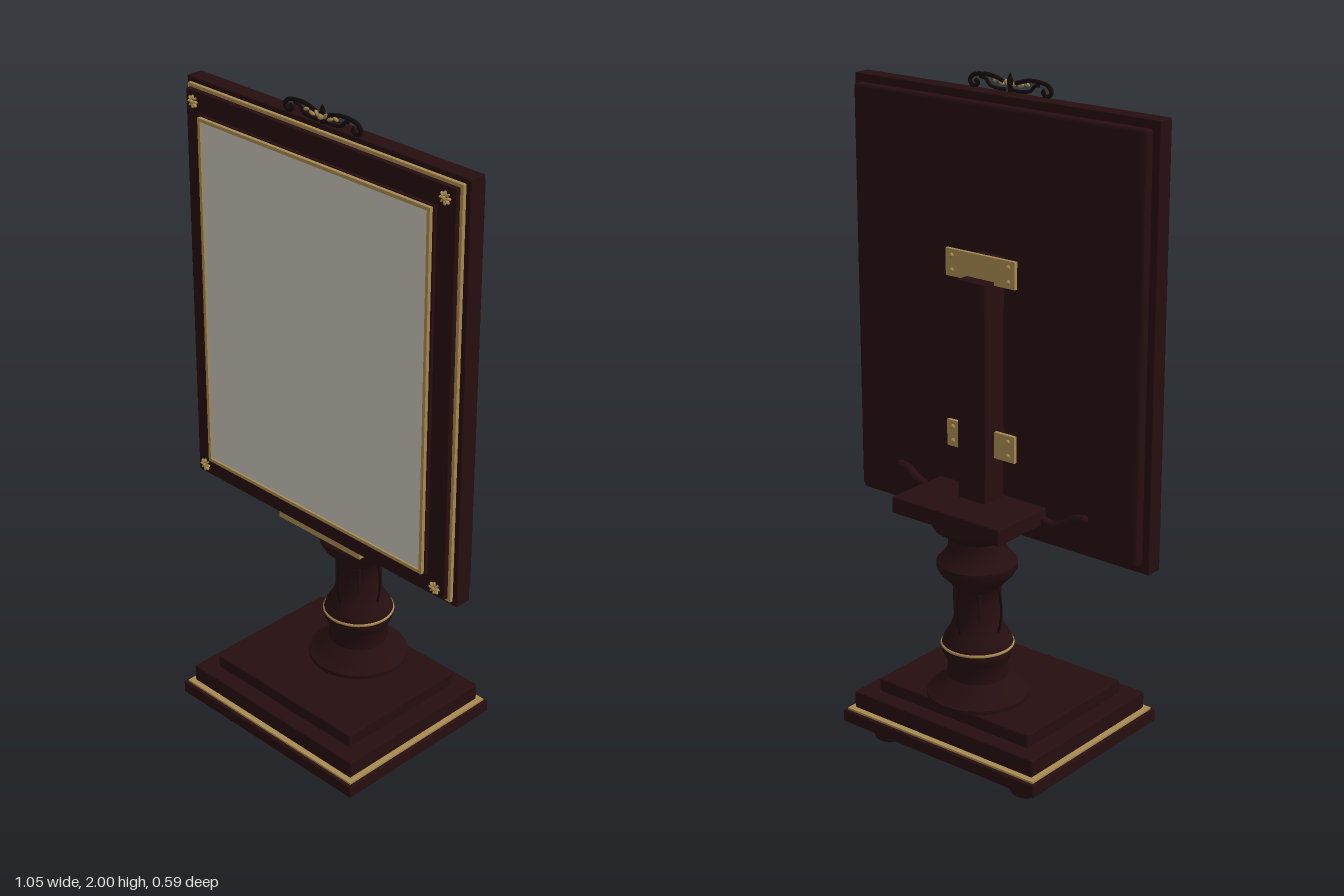
import * as THREE from 'three';
import { toCreasedNormals } from 'three/addons/utils/BufferGeometryUtils.js';
import { RoundedBoxGeometry } from 'three/addons/geometries/RoundedBoxGeometry.js';

const material = (name, color) => Object.assign(new THREE.MeshStandardMaterial({ color }), { name });
const V = (x, y, z) => new THREE.Vector3(x, y, z);

export function createModel() {
  const model = new THREE.Group();
  model.name = 'pedestalMirror';
  const wood = material('mahogany', 0x260e0f);
  const gold = material('brass', 0xa88a50);
  const glass = material('mirrorGlass', 0xc8c3b7);
  const iron = material('blackIron', 0x140a09);

  const add = (name, geo, mat, x = 0, y = 0, z = 0, parent = model) => {
    const m = new THREE.Mesh(geo, mat);
    m.name = name;
    m.position.set(x, y, z);
    parent.add(m);
    return m;
  };
  // box given by its limits, optionally with rounded edges
  const box = (name, mat, [x0, x1], [y0, y1], [z0, z1], round = 0) => {
    const s = [x1 - x0, y1 - y0, z1 - z0];
    const geo = round ? new RoundedBoxGeometry(...s, 2, round) : new THREE.BoxGeometry(...s);
    return add(name, geo, mat, (x0 + x1) / 2, (y0 + y1) / 2, (z0 + z1) / 2);
  };
  const lathe = (points, segments = 40) => toCreasedNormals(new THREE.LatheGeometry(
    points.map(([r, y]) => new THREE.Vector2(r, y)), segments), 0.6);
  const tube = (points, r, segments = 24) =>
    new THREE.TubeGeometry(new THREE.CatmullRomCurve3(points), segments, r, 8);

  // Stepped base with brass inlay
  box('basePlinth', wood, [-0.36, 0.36], [0.062, 0.1], [-0.295, 0.295], 0.004);
  box('baseInlay', gold, [-0.35, 0.35], [0.098, 0.106], [-0.285, 0.285]);
  box('baseStep', wood, [-0.335, 0.335], [0.106, 0.16], [-0.27, 0.27], 0.005);
  box('baseTop', wood, [-0.28, 0.28], [0.158, 0.2], [-0.22, 0.22], 0.005);

  // Bun feet
  const footGeo = lathe([[0, 0], [0.03, 0], [0.044, 0.01], [0.05, 0.028], [0.046, 0.048], [0.034, 0.058], [0.034, 0.066]], 24);
  for (const x of [-0.26, 0.26]) for (const z of [-0.2, 0.2]) add('foot', footGeo, wood, x, 0, z);

  // Turned column
  const column = new THREE.Group();
  column.name = 'column';
  column.position.z = -0.1;
  model.add(column);
  add('columnShaft', lathe([
    [0.15, 0.2], [0.15, 0.212], [0.14, 0.218], [0.115, 0.24], [0.09, 0.265], [0.088, 0.31], [0.096, 0.325],
    [0.104, 0.345], [0.104, 0.368], [0.098, 0.385], [0.082, 0.41], [0.07, 0.44], [0.063, 0.49], [0.064, 0.535],
    [0.08, 0.56], [0.105, 0.585], [0.117, 0.605], [0.117, 0.622], [0.1, 0.64], [0.085, 0.662], [0.082, 0.695],
    [0.1, 0.712], [0.125, 0.728], [0.135, 0.745], [0.135, 0.765], [0, 0.765]]), wood, 0, 0, 0, column);
  const ring = add('columnRing', new THREE.TorusGeometry(0.103, 0.005, 8, 48), gold, 0, 0.363, 0, column);
  ring.rotation.x = Math.PI / 2;

  // Bowed rods around the waist, with slim flutes between them
  const rodGeo = tube([V(0.074, 0.405, 0), V(0.084, 0.44, 0), V(0.088, 0.485, 0), V(0.084, 0.53, 0), V(0.072, 0.565, 0)], 0.0035);
  const fluteGeo = new THREE.CapsuleGeometry(0.006, 0.09, 3, 8);
  for (let i = 0; i < 4; i++) {
    add('waistRod', rodGeo, iron, 0, 0, 0, column).rotation.y = i * Math.PI / 2;
    const a = (i + 0.5) * Math.PI / 2;
    add('waistFlute', fluteGeo, wood, 0.063 * Math.cos(a), 0.49, 0.063 * Math.sin(a), column);
  }

  // Capital slab and upright post
  box('capitalSlab', wood, [-0.195, 0.195], [0.762, 0.812], [-0.245, -0.032], 0.005);
  box('post', wood, [-0.05, 0.05], [0.8, 1.452], [-0.125, -0.04], 0.004);

  // Curved arms either side of the capital
  for (const s of [-1, 1]) {
    const path = [V(s * 0.17, 0.785, -0.045), V(s * 0.22, 0.772, -0.045), V(s * 0.27, 0.785, -0.045),
      V(s * 0.31, 0.812, -0.045), V(s * 0.335, 0.815, -0.045)];
    add('sideArm', tube(path, 0.013), wood);
    add('armTip', new THREE.SphereGeometry(0.014, 12, 8), wood, s * 0.335, 0.815, -0.045);
  }

  // Brass brackets with screws behind the panel
  for (const y of [0.94, 1.442]) {
    box('bracket', gold, [-0.122, 0.122], [y, y + 0.078], [-0.085, -0.074]);
    for (const x of [-0.1, 0.1]) for (const dy of [0.018, 0.06])
      add('bracketScrew', new THREE.SphereGeometry(0.007, 10, 6), gold, x, y + dy, -0.085);
    box('bracketSpacer', wood, [-0.045, 0.045], [y + 0.005, y + 0.07], [-0.076, -0.028]);
  }

  // Layered mirror panel
  box('panelBack', wood, [-0.505, 0.505], [0.708, 1.922], [-0.032, 0.005], 0.01);
  box('panelFrame', wood, [-0.526, 0.526], [0.685, 1.945], [0, 0.052], 0.003);
  box('panelInlay', gold, [-0.511, 0.511], [0.7, 1.93], [0.051, 0.063]);
  box('panelFront', wood, [-0.502, 0.502], [0.709, 1.921], [0.062, 0.079], 0.003);
  box('mirrorBacking', wood, [-0.44, 0.44], [0.77, 1.86], [0.078, 0.089]);
  box('bottomPlate', gold, [-0.165, 0.165], [0.681, 0.705], [0.045, 0.066]);

  // Brass trim ring around the glass
  const rect = (Type, w, h) => {
    const s = new Type();
    s.moveTo(-w, -h).lineTo(w, -h).lineTo(w, h).lineTo(-w, h).closePath();
    return s;
  };
  const trim = rect(THREE.Shape, 0.435, 0.542);
  trim.holes.push(rect(THREE.Path, 0.425, 0.532));
  add('mirrorTrim', new THREE.ExtrudeGeometry(trim, { depth: 0.012, bevelEnabled: false }), gold, 0, 1.315, 0.088);
  box('mirrorGlass', glass, [-0.426, 0.426], [0.782, 1.848], [0.088, 0.094]);

  // Corner rosettes: petals round a bead
  for (const x of [-0.47, 0.47]) for (const y of [0.738, 1.89]) {
    const rosette = new THREE.Group();
    rosette.name = 'rosette';
    rosette.position.set(x, y, 0.084);
    model.add(rosette);
    for (let i = 0; i < 8; i++) {
      const a = i * Math.PI / 4;
      const p = add('petal', new THREE.SphereGeometry(1, 8, 6), gold, 0.012 * Math.cos(a), 0.012 * Math.sin(a), 0, rosette);
      p.scale.set(0.008, 0.0035, 0.006);
      p.rotation.z = a;
    }
    add('rosetteBead', new THREE.SphereGeometry(0.006, 10, 8), gold, 0, 0, 0.004, rosette);
  }

  // Crest: mirrored scrolls with brass leaves
  for (const s of [-1, 1]) {
    const scroll = [[0.02, 1.972], [0.06, 1.983], [0.1, 1.984], [0.13, 1.977], [0.141, 1.962], [0.132, 1.95],
      [0.117, 1.951], [0.113, 1.961], [0.122, 1.965]].map(([x, y]) => V(s * x, y, 0.046));
    add('crestScroll', tube(scroll, 0.006, 48), iron);
    const curl = [[0.01, 1.952], [0.04, 1.951], [0.07, 1.957], [0.085, 1.972], [0.105, 1.976]].map(([x, y]) => V(s * x, y, 0.046));
    add('crestCurl', tube(curl, 0.005), iron);
    for (const [x, y, a] of [[0.016, 1.97, 0.9], [0.034, 1.966, 0.3], [0.054, 1.972, -0.3]]) {
      const leaf = add('crestLeaf', new THREE.SphereGeometry(1, 10, 6), gold, s * x, y, 0.051);
      leaf.scale.set(0.011, 0.005, 0.005);
      leaf.rotation.z = s * a;
    }
  }
  add('crestBud', new THREE.SphereGeometry(0.009, 12, 8), gold, 0, 1.966, 0.052);
  add('crestFinial', lathe([[0, 0], [0.006, 0], [0.009, 0.03], [0.006, 0.042], [0, 0.055]], 12), iron, 0, 1.945, 0.046);

  return model;
}
